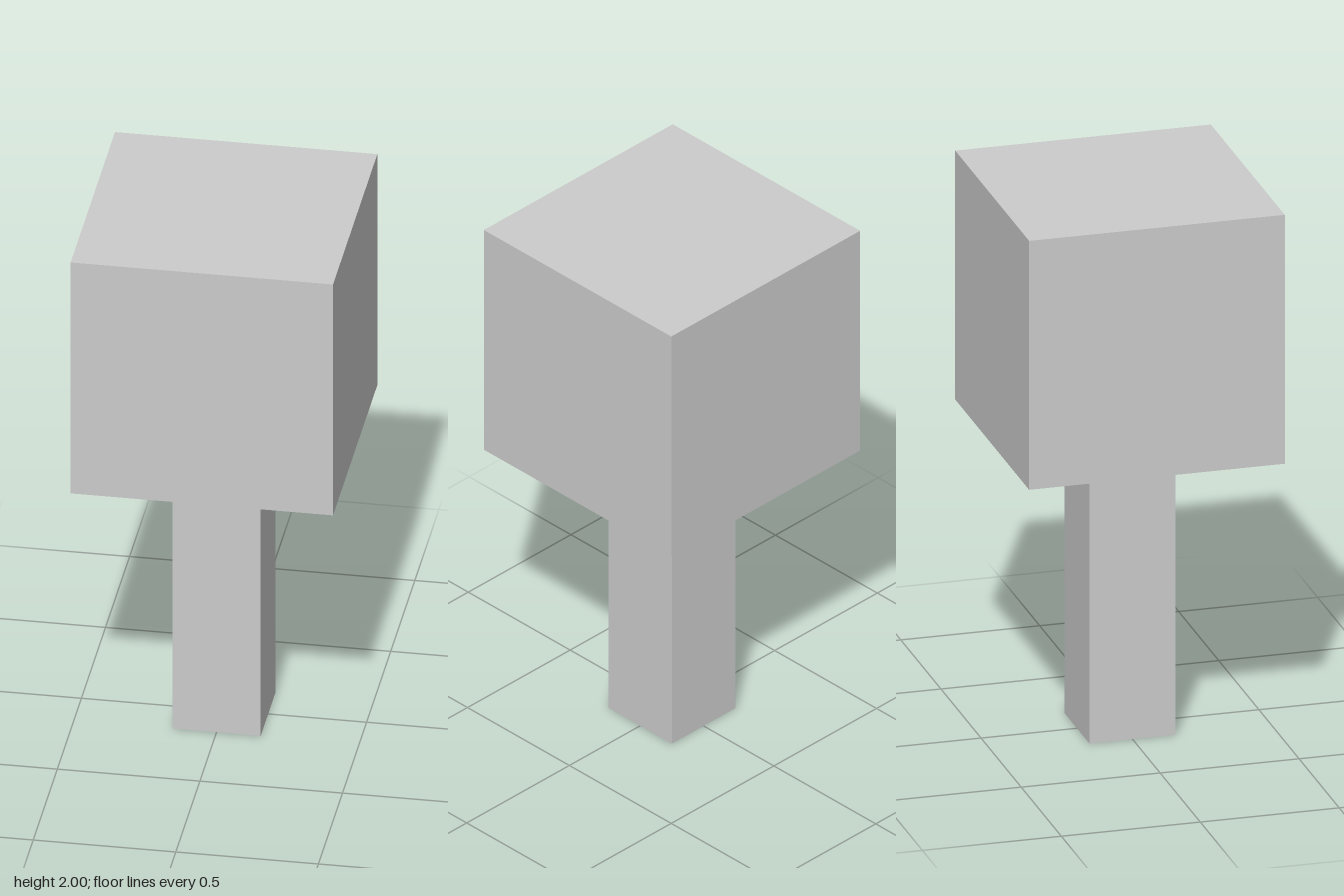
import * as THREE from 'three';

const HEAD_SIZE = 0.92;
const POST_WIDTH = 0.31;
const POST_HEIGHT = 1.08;

export function createModel() {
  const model = new THREE.Group();
  const material = new THREE.MeshStandardMaterial({ color: 0xcccccc, flatShading: true });

  // Square block standing on height y
  const addBlock = (name, width, height, y) => {
    const mesh = new THREE.Mesh(new THREE.BoxGeometry(width, height, width), material);
    mesh.name = name;
    mesh.position.y = y + height / 2;
    model.add(mesh);
  };

  // Slim post with a cube resting on top
  addBlock('post', POST_WIDTH, POST_HEIGHT, 0);
  addBlock('head', HEAD_SIZE, HEAD_SIZE, POST_HEIGHT);

  return model;
}
